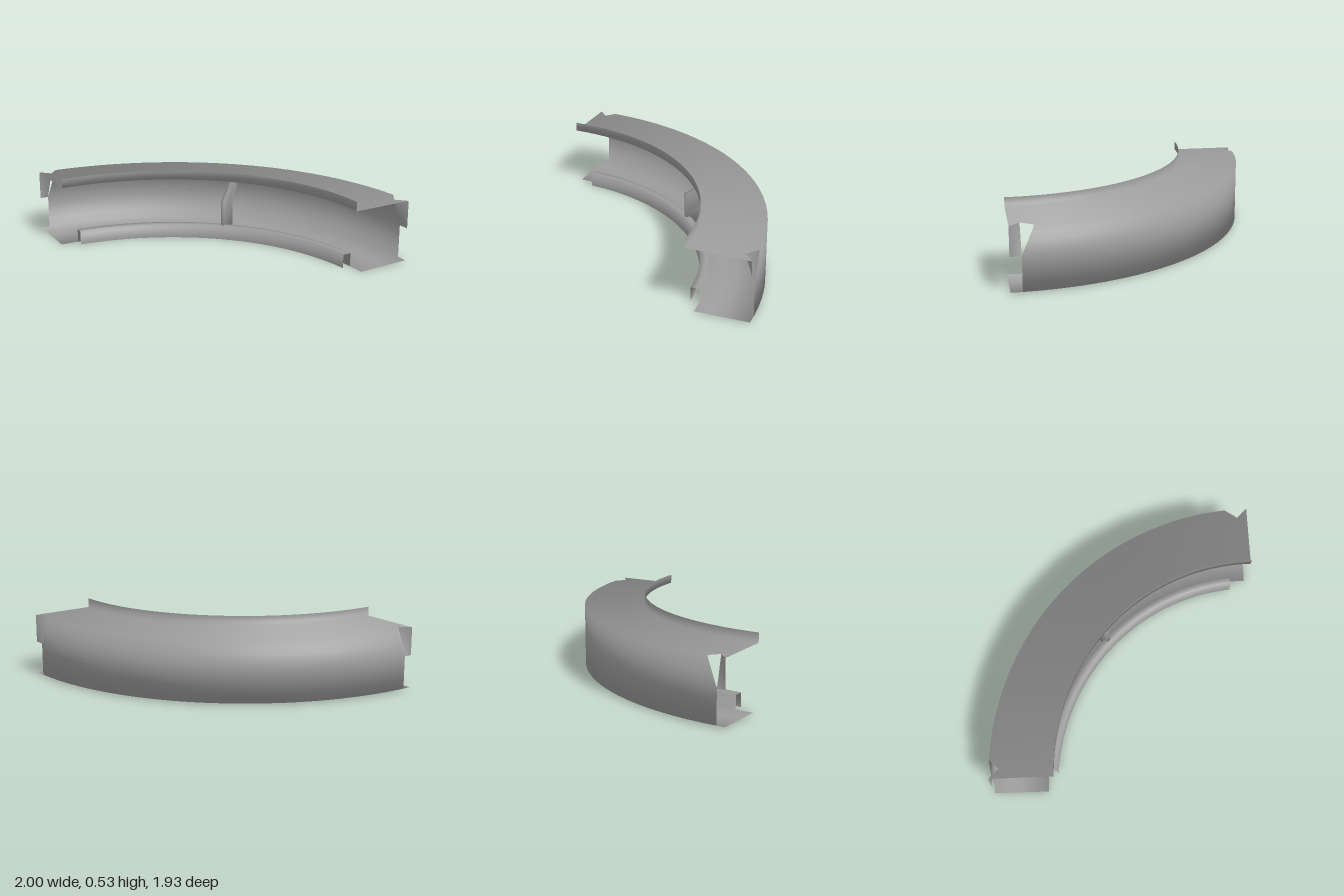
import * as THREE from 'three';
import { ParametricGeometry } from 'three/addons/geometries/ParametricGeometry.js';

const { lerp } = THREE.MathUtils;
const sheet = new THREE.MeshStandardMaterial({ color: 0x9b9b9b, side: THREE.DoubleSide });
const END = Math.PI / 2;
const RAIL_START = 0.081, RAIL_END = END - 0.081;
const ROOF_Y = 0.458, FLAP_Y = 0.252, APEX_R = 1.93;

// Angles from each end to the notch apex, the lower wall and the roof edge
const farCut = { apex: 0.036, wall: 0.03, roof: 0.066 };
const nearCut = { apex: 0.04, wall: 0.041, roof: 0.085 };

// Folded section [radius, height], from the lip over the roof and wall to the rail
const section = [
  [1.545, 0.526], [1.548, ROOF_Y], [2, ROOF_Y], [2, 0.01],
  [1.61, 0], [1.61, 0.1], [1.545, 0.1], [1.545, 0]
].map(([r, y]) => new THREE.Vector2(r, y));

// Normals are averaged at the folds, so the sheet shades as one soft surface
const faceNormals = section.slice(1).map((p, i) => {
  const d = p.clone().sub(section[i]).normalize();
  return new THREE.Vector2(-d.y, d.x);
});
const foldNormals = section.map((_, i) => {
  const before = faceNormals[Math.max(i - 1, 0)];
  const after = faceNormals[Math.min(i, faceNormals.length - 1)];
  return before.clone().add(after).normalize();
});

// Point on the bend: t runs from the far end (0) to the near end (90 degrees)
function onBend(r, y, t, target) {
  target.set(-1 + r * Math.sin(t), y, 0.965 - (r - 0.065) * Math.cos(t));
}

// One face of the section swept round the bend, from fraction v0 to v1 of its width.
// start and end hold the angle at v0 and at v1, so ends can be cut at a slant.
function strip(name, face, start, end, v0 = 0, v1 = 1) {
  const a = section[face], b = section[face + 1];
  const angle = (u, v) => lerp(lerp(start[0], start[1], v), lerp(end[0], end[1], v), u);
  const geometry = new ParametricGeometry((u, v, target) => {
    const k = lerp(v0, v1, v);
    onBend(lerp(a.x, b.x, k), lerp(a.y, b.y, k), angle(u, v), target);
  }, Math.max(2, Math.ceil((end[0] - start[0]) * 36)), 4);

  const { uv, normal } = geometry.attributes;
  const n = new THREE.Vector2();
  for (let i = 0; i < uv.count; i++) {
    const t = angle(uv.getX(i), uv.getY(i));
    n.lerpVectors(foldNormals[face], foldNormals[face + 1], lerp(v0, v1, uv.getY(i))).normalize();
    normal.setXYZ(i, n.x * Math.sin(t), n.y, -n.x * Math.cos(t));
  }
  const mesh = new THREE.Mesh(geometry, sheet);
  mesh.name = name;
  return mesh;
}

// Flap hanging from the roof corner, folded in towards the notch apex
function cornerFlap(name, cut, near) {
  const geometry = new ParametricGeometry((u, v, target) => {
    const t = u * lerp(cut.apex, cut.wall, v);
    const r = 2 - (2 - APEX_R) * u * (1 - v);
    onBend(r, lerp(ROOF_Y, FLAP_Y, v), near ? END - t : t, target);
  }, 4, 4);
  const mesh = new THREE.Mesh(geometry, sheet);
  mesh.name = name;
  return mesh;
}

// Sloping plate that stands across the channel, with softly shaded edges
function supportRib() {
  const outline = [
    [1.612, 0.002], [1.612, 0.101], [1.577, 0.101], [1.577, 0.29],
    [1.985, 0.44], [1.985, 0.255], [1.83, 0.255], [1.83, 0.006]
  ].map(([r, y]) => new THREE.Vector2(r, y));
  const thickness = 0.025;
  const geometry = new THREE.ExtrudeGeometry(new THREE.Shape(outline), { depth: thickness, bevelEnabled: false });
  geometry.translate(0, 0, -thickness / 2);
  const { position, normal } = geometry.attributes;
  const n = new THREE.Vector2();
  for (let i = 0; i < position.count; i++) {
    n.set(position.getX(i) - 1.78, position.getY(i) - 0.2).normalize().multiplyScalar(Math.SQRT1_2);
    normal.setXYZ(i, n.x, n.y, Math.sign(position.getZ(i)) * Math.SQRT1_2);
  }
  const rib = new THREE.Mesh(geometry, sheet);
  rib.name = 'supportRib';
  rib.rotation.y = Math.PI / 4;
  rib.position.set(-1.005, 0, 1.01);
  return rib;
}

export function createModel() {
  const model = new THREE.Group();
  model.name = 'curvedChannel';
  const whole = [[0, 0], [END, END]];

  // Lip and floor run the full quarter turn
  model.add(strip('innerLip', 0, ...whole), strip('floor', 3, ...whole));

  // Roof, with a notch cut into its outer edge near both ends
  const k = (APEX_R - section[1].x) / (section[2].x - section[1].x);
  model.add(
    strip('roof', 1, ...whole, 0, k),
    strip('roofOuterEdge', 1, [farCut.apex, farCut.roof], [END - nearCut.apex, END - nearCut.roof], k, 1),
    strip('farRoofCorner', 1, [0, 0], [farCut.apex, 0], k, 1),
    strip('nearRoofCorner', 1, [END - nearCut.apex, END], [END, END], k, 1)
  );

  // Outer wall: straight ends below, slanting back to the roof above
  const h = (ROOF_Y - FLAP_Y) / (ROOF_Y - section[3].y);
  const wallStart = farCut.wall, wallEnd = END - nearCut.wall;
  model.add(
    strip('upperWall', 2, [farCut.roof, wallStart], [END - nearCut.roof, wallEnd], 0, h),
    strip('lowerWall', 2, [wallStart, wallStart], [wallEnd, wallEnd], h, 1),
    cornerFlap('farCornerFlap', farCut, false),
    cornerFlap('nearCornerFlap', nearCut, true)
  );

  // Inner rail: an upturned channel that stops short of the ends
  ['railOuterSide', 'railTop', 'railInnerSide'].forEach((name, i) => {
    model.add(strip(name, 4 + i, [RAIL_START, RAIL_START], [RAIL_END, RAIL_END]));
  });

  // Rib half way round the bend
  model.add(supportRib());
  return model;
}
